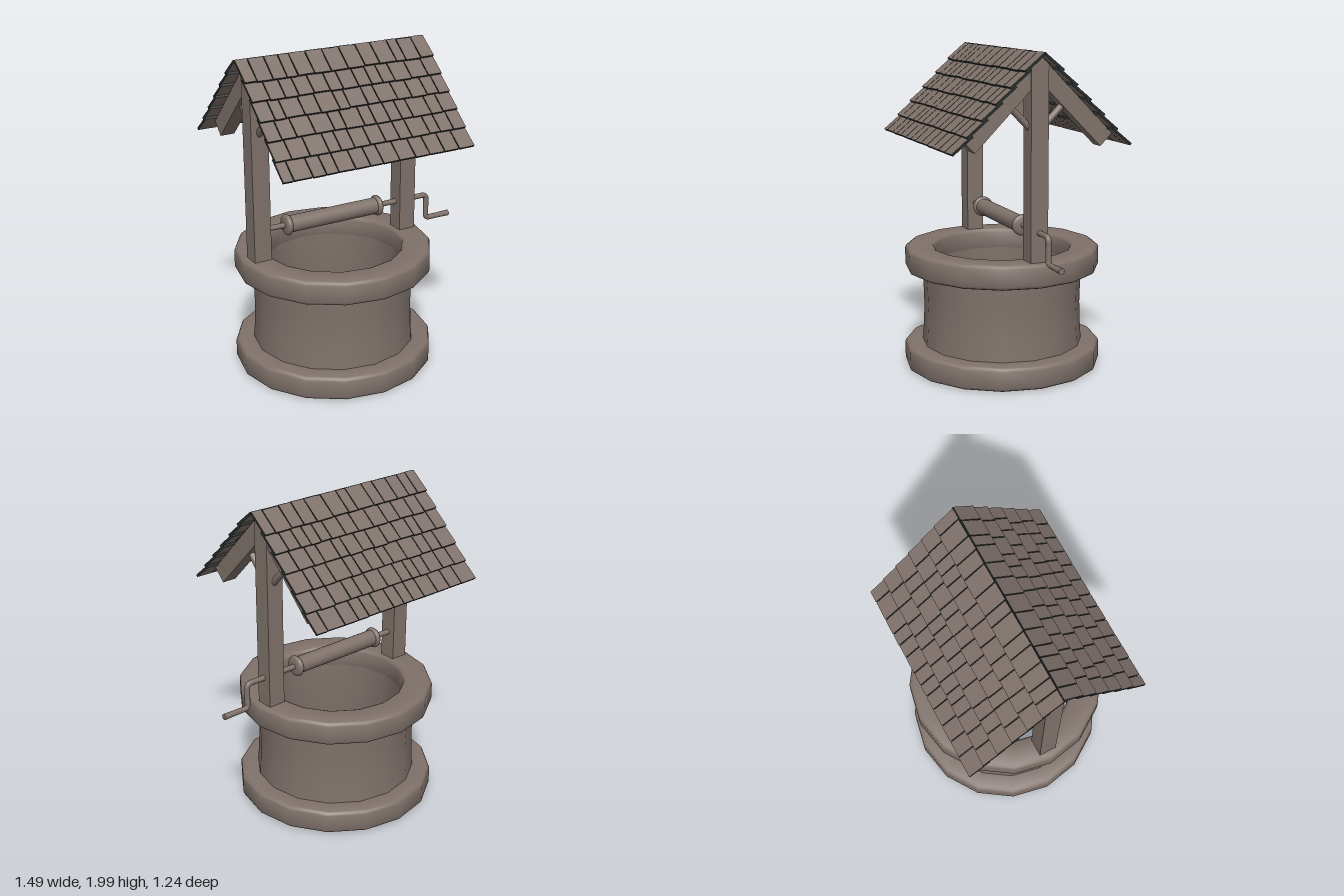
import * as THREE from 'three';
import { mergeGeometries, toCreasedNormals } from 'three/addons/utils/BufferGeometryUtils.js';

const CX = -0.12; // centre of the well; the crank sticks out to +x
const AXLE_Y = 0.95;

export function createModel() {
  const model = new THREE.Group();
  const brown = new THREE.MeshStandardMaterial({ color: 0x80726b });
  brown.name = 'weathered brown';
  const dark = new THREE.MeshStandardMaterial({ color: 0x252c2c });
  dark.name = 'dark shingle edge';

  const add = (name, geometry, x = 0, y = 0, z = 0, material = brown) => {
    const mesh = new THREE.Mesh(geometry, material);
    mesh.name = name;
    mesh.position.set(x, y, z);
    model.add(mesh);
    return mesh;
  };
  const lathe = (points, sides, crease) => toCreasedNormals(
    new THREE.LatheGeometry(points.map(([r, y]) => new THREE.Vector2(r, y)), sides), crease);

  // Small seeded generator for uneven shingles
  let seed = 7;
  const rand = () => (seed = (seed * 16807) % 2147483647) / 2147483647;

  // Stone rings with softened edges, open in the middle
  const ring = (inner, outer, y0, y1) => {
    const b = 0.022, s = 0.007;
    return lathe([
      [inner + b, y0], [outer - b, y0], [outer - s, y0 + s], [outer, y0 + b],
      [outer, y1 - b], [outer - s, y1 - s], [outer - b, y1], [inner + b, y1],
      [inner + s, y1 - s], [inner, y1 - b], [inner, y0 + b], [inner + s, y0 + s], [inner + b, y0],
    ], 16, 0.75);
  };
  add('baseRing', ring(0.435, 0.619, 0.005, 0.152), CX);
  add('rimRing', ring(0.43, 0.61, 0.622, 0.77), CX);

  // Slightly waisted wall, hollow
  add('wellWall', lathe([
    [0.508, 0.1], [0.505, 0.16], [0.497, 0.28], [0.494, 0.39], [0.497, 0.5], [0.503, 0.62],
    [0.503, 0.66], [0.4305, 0.66], [0.4305, 0.14], [0.442, 0.1], [0.508, 0.1],
  ], 16, 0.75), CX);

  // Posts with pointed tops, rafters and round braces
  const postShape = new THREE.Shape([
    [-0.055, 0.772], [0.055, 0.772], [0.055, 1.925], [0, 1.98], [-0.055, 1.925],
  ].map(([z, y]) => new THREE.Vector2(z, y)));
  const postGeometry = new THREE.ExtrudeGeometry(postShape, { depth: 0.11, bevelEnabled: false })
    .translate(0, 0, -0.055).rotateY(Math.PI / 2);
  const rafterGeometry = new THREE.BoxGeometry(0.09, 0.105, 0.665)
    .translate(0, -0.0525, 0.3325).rotateX(Math.PI / 4).translate(0, 1.982, 0);
  const braceGeometry = new THREE.CylinderGeometry(0.021, 0.021, 0.24, 12)
    .rotateX(Math.PI / 4).translate(0, 1.635, 0.115);
  for (const [side, x] of [['right', -0.625], ['left', 0.39]]) {
    add(side + 'Post', postGeometry, x);
    for (const [end, turn] of [['Front', 0], ['Back', Math.PI]]) {
      add(side + end + 'Rafter', rafterGeometry, x).rotation.y = turn;
      add(side + end + 'Brace', braceGeometry, x).rotation.y = turn;
    }
  }

  // Overlapping shingles, six rows on each slope; brown faces, dark cut edges
  const slope = THREE.MathUtils.degToRad(39), width = 1.257, perRow = 13, thick = 0.015;
  const shingles = () => {
    const parts = [];
    for (let row = 0; row < 6; row++) {
      const widths = Array.from({ length: perRow }, () => 0.75 + 0.6 * rand());
      const total = widths.reduce((a, b) => a + b, 0);
      let x = -width / 2;
      for (const share of widths) {
        const w = share / total * width;
        const length = 0.158, slip = row ? 0.006 * rand() : 0.003 * rand();
        parts.push(new THREE.BoxGeometry(w - 0.006, thick, length)
          .rotateY((rand() - 0.5) * 0.03)
          .translate(0, -thick / 2, -length / 2 - slip)
          .rotateX(slope)
          .translate(x + w / 2, 1.453 + 0.0885 * row, 0.567 - 0.0875 * row));
        x += w;
      }
    }
    const merged = mergeGeometries(parts);
    parts.forEach((_, i) => {
      merged.addGroup(36 * i, 12, 1); // sides
      merged.addGroup(36 * i + 12, 12, 0); // top and underside
      merged.addGroup(36 * i + 24, 12, 1); // tail and head
    });
    return merged;
  };
  add('frontShingles', shingles(), -0.113, 0, 0, [brown, dark]);
  add('backShingles', shingles(), -0.122, 0, 0, [brown, dark]).rotation.y = Math.PI;

  // Rope drum with rounded end flanges
  const drum = [
    [0, -0.336], [0.045, -0.336], [0.058, -0.331], [0.065, -0.322], [0.065, -0.311],
    [0.058, -0.302], [0.052, -0.299],
  ];
  const drumProfile = [...drum, ...drum.map(([r, y]) => [r, -y]).reverse()];
  add('drum', lathe(drumProfile, 20, 0.7).rotateZ(-Math.PI / 2), CX, AXLE_Y);

  // Axle and crank as one bent rod with a slightly thicker grip
  const v = (x, y) => new THREE.Vector3(x, y, 0);
  const rod = new THREE.CurvePath();
  rod.add(new THREE.LineCurve3(v(-0.6, AXLE_Y), v(0.54, AXLE_Y)));
  rod.add(new THREE.QuadraticBezierCurve3(v(0.54, AXLE_Y), v(0.57, AXLE_Y), v(0.57, 0.92)));
  rod.add(new THREE.LineCurve3(v(0.57, 0.92), v(0.57, 0.815)));
  rod.add(new THREE.QuadraticBezierCurve3(v(0.57, 0.815), v(0.57, 0.79), v(0.595, 0.79)));
  rod.add(new THREE.LineCurve3(v(0.595, 0.79), v(0.7, 0.79)));
  add('crankRod', new THREE.TubeGeometry(rod, 160, 0.017, 12));
  add('crankGrip', new THREE.CylinderGeometry(0.019, 0.016, 0.12, 12).rotateZ(-Math.PI / 2), 0.683, 0.79);

  return model;
}
